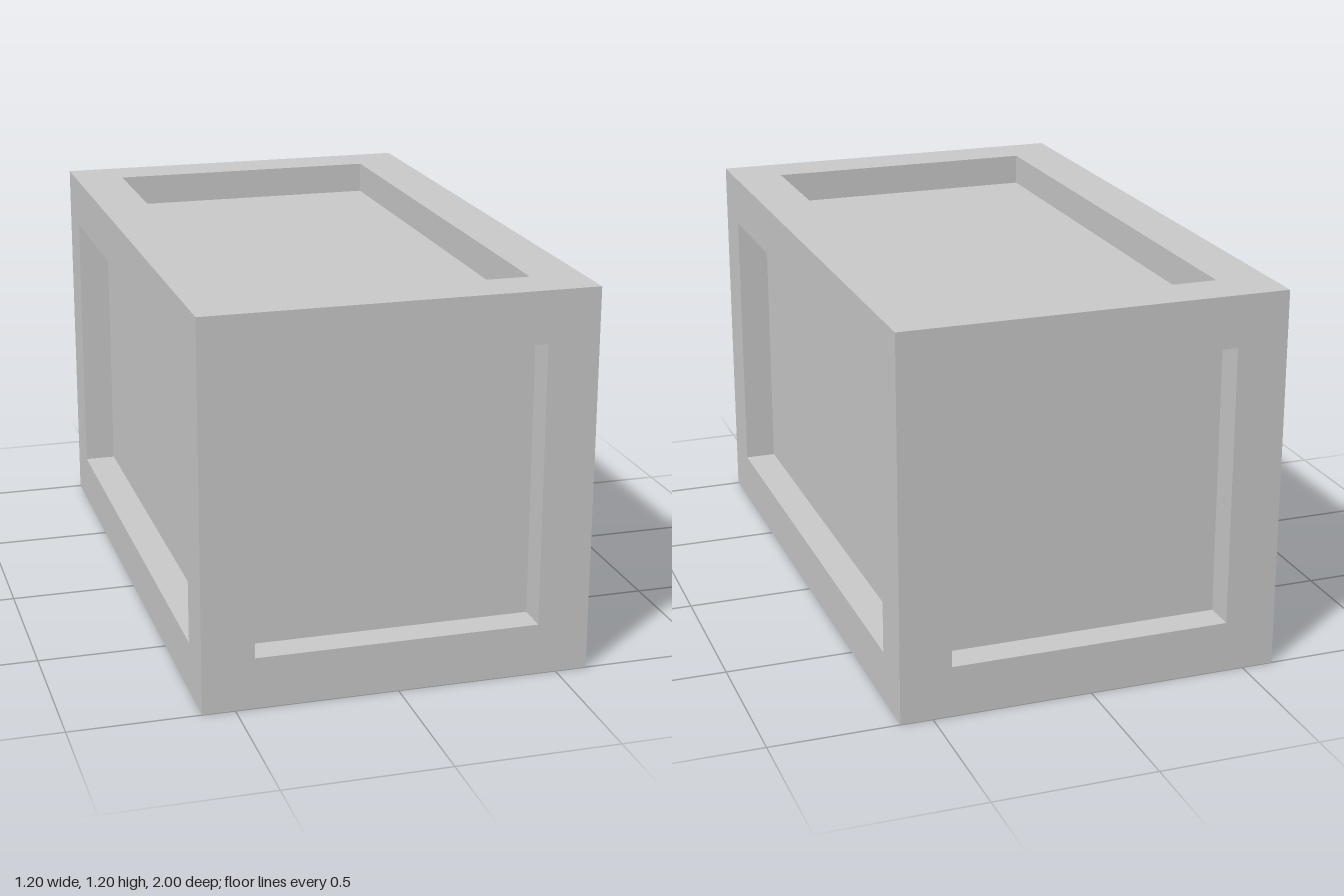
import * as THREE from 'three';

const W = 1.2, H = 1.2, L = 2;   // crate width, height, length
const BORDER = 0.16, DEPTH = 0.1; // frame width and panel recess

const material = new THREE.MeshStandardMaterial({ color: 0xcccccc, flatShading: true });

function rectangle(PathType, w, h) {
  return new PathType([
    new THREE.Vector2(-w / 2, -h / 2), new THREE.Vector2(w / 2, -h / 2),
    new THREE.Vector2(w / 2, h / 2), new THREE.Vector2(-w / 2, h / 2),
  ]);
}

function addMesh(group, name, geometry) {
  const mesh = new THREE.Mesh(geometry, material);
  mesh.name = name;
  group.add(mesh);
}

// One side of the crate, facing +z: flat frame, recess walls and sunken panel
function recessedSide(name, w, h) {
  const side = new THREE.Group();
  side.name = name;
  const iw = w - 2 * BORDER, ih = h - 2 * BORDER;

  const frame = rectangle(THREE.Shape, w, h);
  frame.holes.push(rectangle(THREE.Path, iw, ih));
  addMesh(side, 'frame', new THREE.ShapeGeometry(frame));

  addMesh(side, 'panel', new THREE.PlaneGeometry(iw, ih).translate(0, 0, -DEPTH));

  // Four walls around the opening, each facing inward
  for (let i = 0; i < 4; i++) {
    const [length, distance] = i % 2 ? [ih, iw / 2] : [iw, ih / 2];
    addMesh(side, 'recessWall', new THREE.PlaneGeometry(length, DEPTH)
      .rotateX(Math.PI / 2)
      .translate(0, distance, -DEPTH / 2)
      .rotateZ(i * Math.PI / 2));
  }
  return side;
}

export function createModel() {
  const crate = new THREE.Group();
  crate.name = 'crate';

  // Four upright sides, turned around the vertical axis
  ['front', 'left', 'back', 'right'].forEach((name, i) => {
    const [width, distance] = i % 2 ? [L, W / 2] : [W, L / 2];
    const side = recessedSide(name + 'Side', width, H);
    const angle = i * Math.PI / 2;
    side.rotation.y = angle;
    side.position.set(Math.sin(angle) * distance, H / 2, Math.cos(angle) * distance);
    crate.add(side);
  });

  // Recessed lid
  const top = recessedSide('topSide', W, L);
  top.rotation.x = -Math.PI / 2;
  top.position.y = H;
  crate.add(top);

  // Plain flat underside
  addMesh(crate, 'bottom', new THREE.PlaneGeometry(W, L).rotateX(Math.PI / 2));

  return crate;
}
